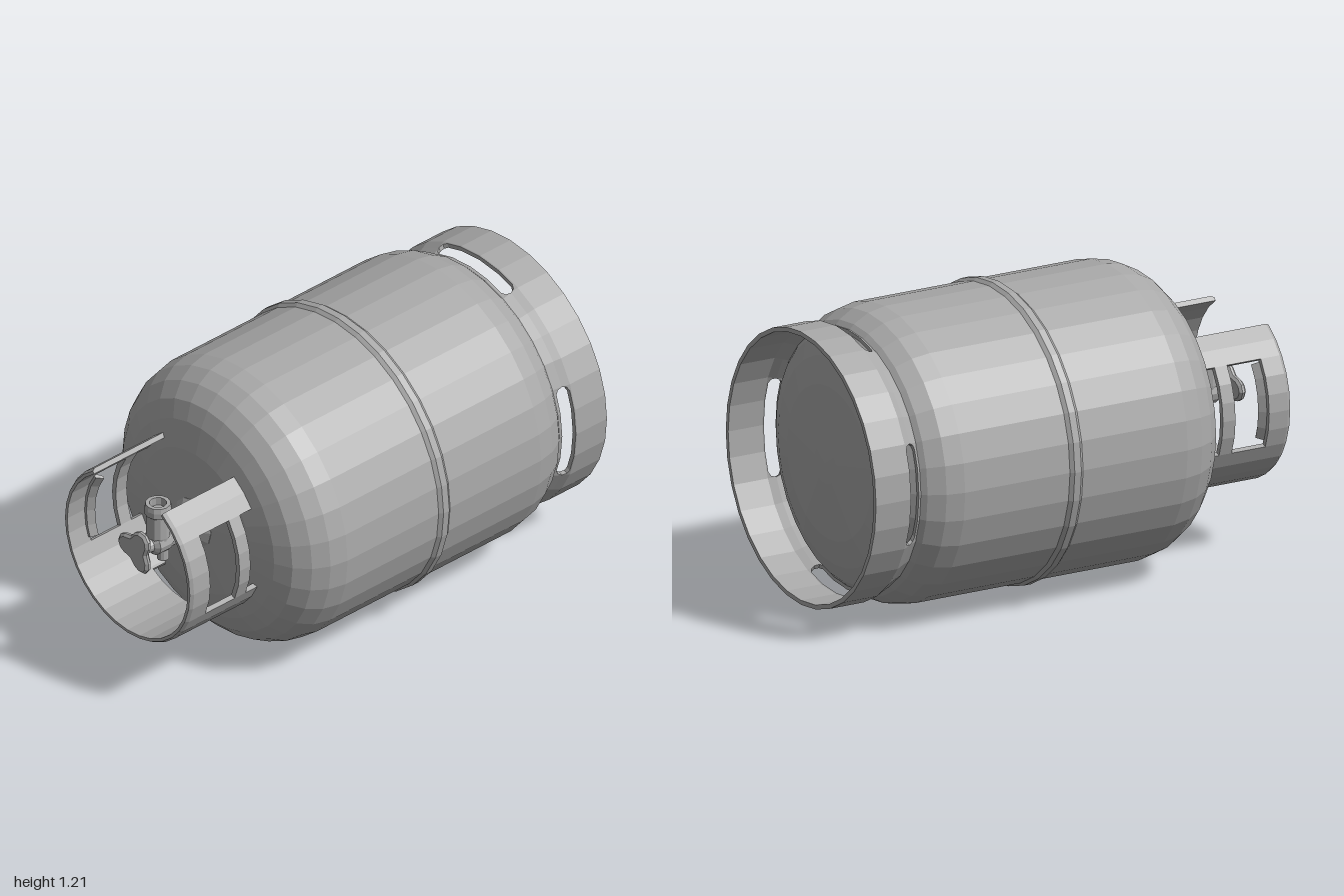
import * as THREE from 'three';

const CY = 0.607;                 // height of the bottle's axis, which runs along z
const STEP = Math.PI / 16;        // one facet of the 32-sided body
const deg = THREE.MathUtils.degToRad;

const steel = new THREE.MeshStandardMaterial({ color: 0xa8a8a8 });
steel.name = 'greySteel';

// Mesh with flat normals
function part(name, geometry) {
  const g = geometry.index ? geometry.toNonIndexed() : geometry;
  g.computeVertexNormals();
  const mesh = new THREE.Mesh(g, steel);
  mesh.name = name;
  return mesh;
}

// Solid of revolution around the bottle axis, points are [radius, z] with z rising
function turned(name, points, sides = 32) {
  const g = new THREE.LatheGeometry(points.map(p => new THREE.Vector2(p[0], p[1])), sides);
  return part(name, g.rotateX(Math.PI / 2).translate(0, CY, 0));
}

// Sweep a [radius, z] loop around the axis; angle 0 is up, growing towards +x.
// Points between facet corners stay on the flat facet.
function sweep(name, angles, profileAt, closed = false) {
  const pos = [], idx = [];
  let n = 0;
  for (const a of angles) {
    const off = a - (Math.floor(a / STEP + 1e-6) + 0.5) * STEP;
    const k = Math.cos(STEP / 2) / Math.cos(off);
    const loop = profileAt(a);
    n = loop.length;
    for (const [r, z] of loop) pos.push(r * k * Math.sin(a), CY + r * k * Math.cos(a), z);
  }
  const rows = angles.length;
  for (let s = 0; s < (closed ? rows : rows - 1); s++) {
    const t = (s + 1) % rows;
    for (let i = 0; i < n; i++) {
      const j = (i + 1) % n;
      const a = s * n + i, b = s * n + j, c = t * n + j, d = t * n + i;
      idx.push(a, b, c, a, c, d);
    }
  }
  if (!closed) {
    const e = (rows - 1) * n;
    for (let i = 1; i < n - 1; i++) idx.push(0, i + 1, i, e, e + i, e + i + 1);
  }
  const g = new THREE.BufferGeometry();
  g.setAttribute('position', new THREE.Float32BufferAttribute(pos, 3));
  g.setIndex(idx);
  return part(name, g);
}

// Angles from a to b (degrees) that include every facet corner between them
function arc(a, b) {
  const list = [deg(a)];
  for (let i = 0; i < 32; i++) {
    const t = i * STEP;
    if (t > deg(a) + 0.01 && t < deg(b) - 0.01) list.push(t);
  }
  return [...list, deg(b)];
}

// Tank with mirrored domes and a raised weld band in the middle
function makeTank() {
  const mid = -0.115;
  const half = [[0.607, -0.1], [0.595, -0.085], [0.595, 0.39], [0.58, 0.465], [0.545, 0.53],
    [0.49, 0.583], [0.42, 0.615], [0.31, 0.643], [0.08, 0.66], [0, 0.662]];
  const back = half.map(([r, z]) => [r, 2 * mid - z]).reverse();
  return turned('tank', [...back, ...half]);
}

// Foot ring with four round-ended slots
function makeFoot() {
  const foot = new THREE.Group();
  foot.name = 'footRing';
  const offsets = [[-22.5, 0], [-21.7, 0.017], [-19.8, 0.025], [-11.25, 0.025], [0, 0.025],
    [11.25, 0.025], [19.8, 0.025], [21.7, 0.017], [22.5, 0], [33.75, 0], [45, 0], [56.25, 0]];
  const gaps = new Map();
  for (let q = 0; q < 4; q++) {
    for (const [d, h] of offsets) gaps.set(deg(q * 90 + d), h);
  }
  const angles = [...gaps.keys()];
  const radius = z => z < -0.845 ? 0.555 : 0.555 - 0.035 * (z + 0.845) / 0.075;
  const wall = 0.018, slotZ = -0.815;
  foot.add(sweep('footBase', angles, a => {
    const top = slotZ - gaps.get(a), r = radius(top);
    return [[0.555 - wall, -1], [0.555, -1], [0.555, -0.845], [r, top],
      [r - wall, top], [0.555 - wall, -0.845]];
  }, true));
  foot.add(sweep('footNeck', angles, a => {
    const low = slotZ + gaps.get(a), r = radius(low);
    return [[r - wall, low], [r, low], [0.522, -0.768], [0.522 - wall, -0.768]];
  }, true));
  return foot;
}

// Guard collar around the valve, open at the top, with a hand hole on each side
function makeCollar() {
  const collar = new THREE.Group();
  collar.name = 'guardCollar';
  const r0 = 0.346, r1 = 0.367;
  const plate = z0 => () => [[r0, z0], [r1, z0], [r1, 0.985], [r1 - 0.008, 1], [r0, 1]];
  const bar = () => [[r0, 0.69], [r1, 0.69], [r1, 0.747], [r0, 0.747]];
  const lip = () => [[0.318, 0.88], [0.326, 0.875], [r0 + 0.004, 0.9], [r0 + 0.004, 0.91], [0.335, 0.91]];
  const pieces = [
    ['upperPlate', 33.7, 56, plate(0.625)],
    ['rim', 56, 113, plate(0.9)],
    ['sideBar', 56, 113, bar],
    ['handleLip', 57, 110, lip],
    ['lowerPlate', 113, 148, plate(0.625)],
  ];
  for (const [name, a, b, profile] of pieces) {
    collar.add(sweep(name + 'Left', arc(a, b), profile));
    collar.add(sweep(name + 'Right', arc(360 - b, 360 - a), profile));
  }
  collar.add(sweep('bottomPlate', arc(148, 212), plate(0.7)));
  return collar;
}

// Valve: boss, body, upright outlet, relief spout and three-lobed hand knob
function makeValve() {
  const valve = new THREE.Group();
  valve.name = 'valve';
  valve.add(turned('boss', [[0.105, 0.64], [0.105, 0.66], [0.065, 0.69], [0.065, 0.72],
    [0.045, 0.725], [0.045, 0.8], [0.05, 0.81], [0.05, 0.87], [0.03, 0.885], [0.022, 0.94], [0, 0.94]], 12));

  const upright = (name, points, z) => {
    const g = new THREE.LatheGeometry(points.map(p => new THREE.Vector2(p[0], p[1])), 12);
    valve.add(part(name, g.translate(0, 0, z)));
  };
  upright('outlet', [[0, 0.6], [0.042, 0.6], [0.048, 0.64], [0.048, 0.735], [0.054, 0.74],
    [0.054, 0.765], [0.05, 0.785], [0.034, 0.785], [0.034, 0.75], [0, 0.75]], 0.84);
  upright('reliefSpout', [[0, 0.515], [0.024, 0.515], [0.024, 0.6], [0, 0.6]], 0.815);

  const outline = [];
  for (let i = 0; i < 24; i++) {
    const a = i * Math.PI / 12;
    const r = 0.07 - 0.021 * Math.cos(3 * a);
    outline.push(new THREE.Vector2(r * Math.cos(a), r * Math.sin(a)));
  }
  const knob = new THREE.ExtrudeGeometry(new THREE.Shape(outline), {
    depth: 0.01, bevelEnabled: true, bevelThickness: 0.01, bevelSize: 0.01, bevelSegments: 1,
  });
  valve.add(part('knob', knob.translate(-0.005, CY + 0.005, 0.94)));
  return valve;
}

export function createModel() {
  const model = new THREE.Group();
  model.name = 'gasBottle';
  model.add(makeTank(), makeFoot(), makeCollar(), makeValve());
  return model;
}
